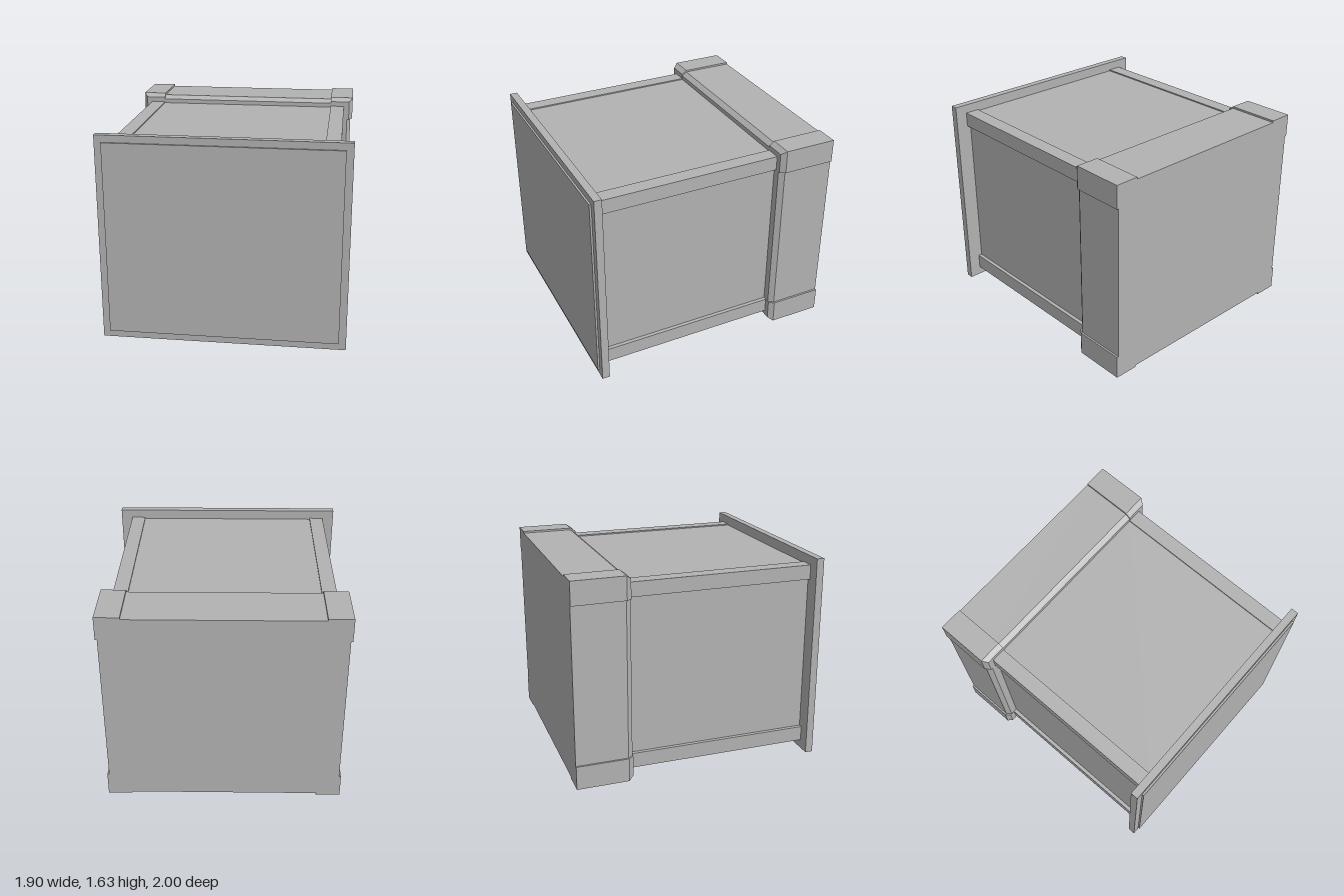
import * as THREE from 'three';

const grey = new THREE.MeshStandardMaterial({ color: 0xb2b2b2 });
grey.name = 'grey';

export function createModel() {
  const group = new THREE.Group();

  const add = (name, geometry) => {
    const mesh = new THREE.Mesh(geometry, grey);
    mesh.name = name;
    group.add(mesh);
  };

  // Box given by its limits on each axis
  const box = (name, x0, x1, y0, y1, z0, z1) => {
    const g = new THREE.BoxGeometry(x1 - x0, y1 - y0, z1 - z0);
    g.translate((x0 + x1) / 2, (y0 + y1) / 2, (z0 + z1) / 2);
    add(name, g);
  };

  // Box whose front end tapers on the sides that lie on the outside of the crate
  const midY = 0.8175;
  const chamferedBox = (name, x0, x1, y0, y1, z0, z1, bevel) => {
    const indexed = new THREE.BoxGeometry(1, 1, 1, 1, 1, 2);
    const p = indexed.attributes.position;
    for (let i = 0; i < p.count; i++) {
      let x = p.getX(i) < 0 ? x0 : x1;
      let y = p.getY(i) < 0 ? y0 : y1;
      const zi = p.getZ(i);
      const z = zi < -0.1 ? z0 : zi > 0.1 ? z1 : z1 - 0.04;
      if (zi > 0.1) {
        if (Math.abs(x) > 0.85) x -= Math.sign(x) * bevel;
        if (Math.abs(y - midY) > 0.75) y -= Math.sign(y - midY) * bevel;
      }
      p.setXYZ(i, x, y, z);
    }
    const g = indexed.toNonIndexed();
    g.computeVertexNormals();
    add(name, g);
  };

  // Front board with its raised face
  box('frontBoard', -0.95, 0.95, 0, 1.635, 0.925, 0.985);
  box('frontFace', -0.895, 0.895, 0.055, 1.58, 0.985, 1);

  // Long corner rails of the body
  for (const s of [-1, 1]) {
    const [a, b] = s < 0 ? [-0.855, -0.74] : [0.74, 0.855];
    box('topRail', a, b, 1.45, 1.565, -0.55, 0.925);
    box('bottomRail', a, b, 0.07, 0.19, -0.55, 0.925);
    // Side walls sit a little behind the rails
    const [c, d] = s < 0 ? [-0.825, -0.74] : [0.74, 0.825];
    box('sideWall', c, d, 0.19, 1.45, -0.55, 0.925);
  }
  box('topPanel', -0.74, 0.74, 1.45, 1.555, -0.55, 0.925);

  // Cross walls around the two compartments, open underneath
  box('frontWall', -0.74, 0.74, 0.07, 1.45, 0.87, 0.925);
  box('divider', -0.74, 0.74, 0.07, 1.45, 0.19, 0.24);
  box('rearWall', -0.74, 0.74, 0.07, 1.45, -0.55, -0.46);

  // Wide rear block with proud corner pieces
  chamferedBox('rearBlock', -0.915, 0.915, 0.015, 1.62, -1, -0.545, 0.03);
  for (const [x0, x1] of [[-0.93, -0.74], [0.74, 0.93]]) {
    for (const [y0, y1] of [[0, 0.19], [1.45, 1.635]]) {
      chamferedBox('rearCorner', x0, x1, y0, y1, -1, -0.543, 0.03);
    }
  }

  return group;
}
